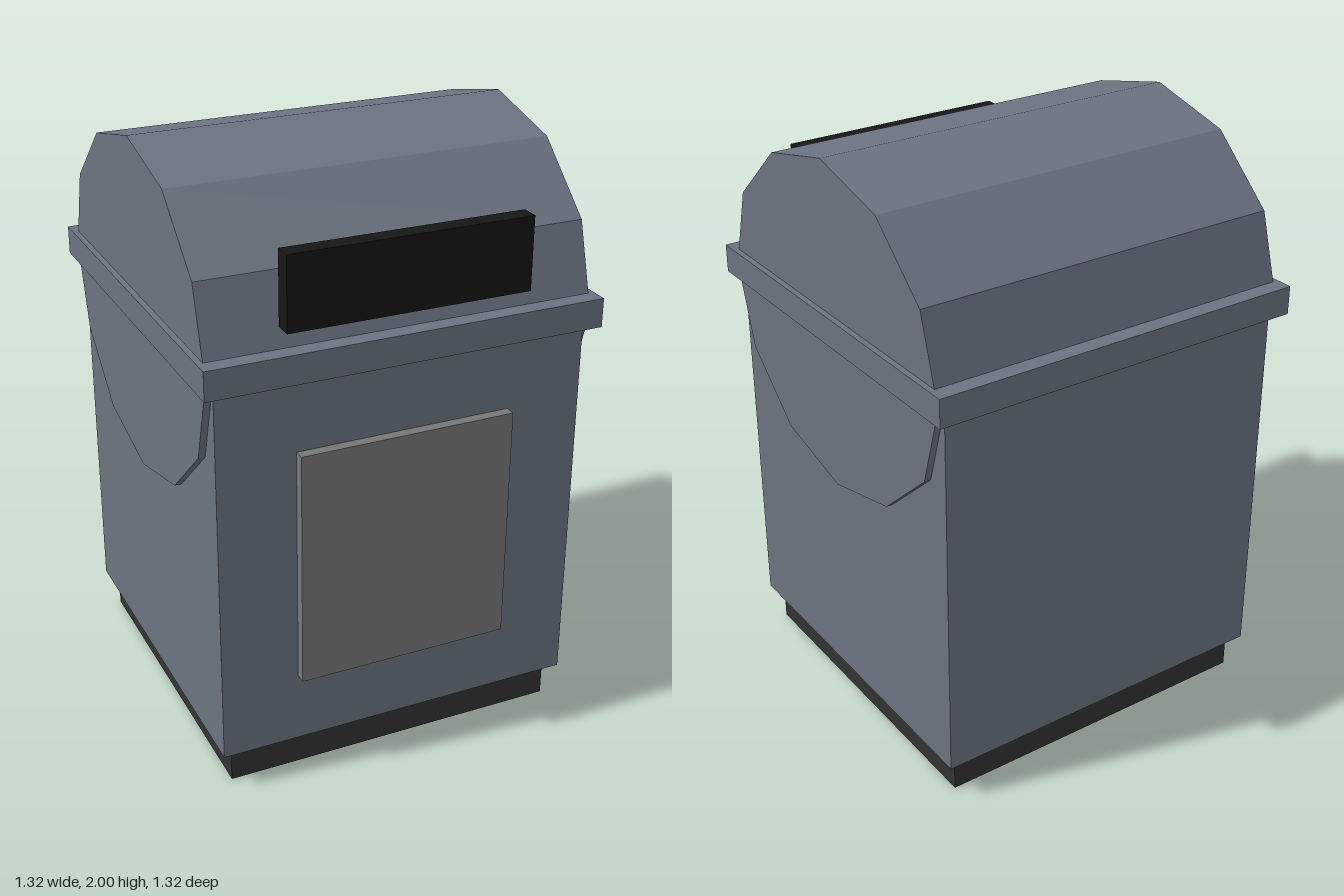
import * as THREE from 'three';

const material = (color) => new THREE.MeshStandardMaterial({ color, flatShading: true });

export function createModel() {
  const group = new THREE.Group();
  const slate = material(0x6b7480);
  const rubber = material(0x333333);
  const black = material(0x161616);
  const panel = material(0x777777);

  // Box given by its size, bottom height and centre depth
  const box = (name, w, h, d, bottom, z, mat) => {
    const mesh = new THREE.Mesh(new THREE.BoxGeometry(w, h, d), mat);
    mesh.name = name;
    mesh.position.set(0, bottom + h / 2, z);
    group.add(mesh);
  };

  box('base', 1.16, 0.125, 1.16, 0, 0, rubber);
  box('body', 1.236, 1.28, 1.236, 0.125, 0, slate);
  box('rim', 1.32, 0.096, 1.32, 1.405, 0, slate);
  box('door', 0.72, 0.8, 0.04, 0.365, 0.634, panel);
  box('slotFlap', 0.8, 0.24, 0.06, 1.565, 0.62, black);

  // Twelve-sided barrel lid, flattened in height and lying across the body
  const barrel = new THREE.CylinderGeometry(1, 1, 1.28, 12);
  barrel.rotateZ(Math.PI / 2).scale(1, 0.556, 0.62);
  const lid = new THREE.Mesh(barrel, slate);
  lid.name = 'lid';
  lid.position.y = 1.444;
  group.add(lid);

  return group;
}
